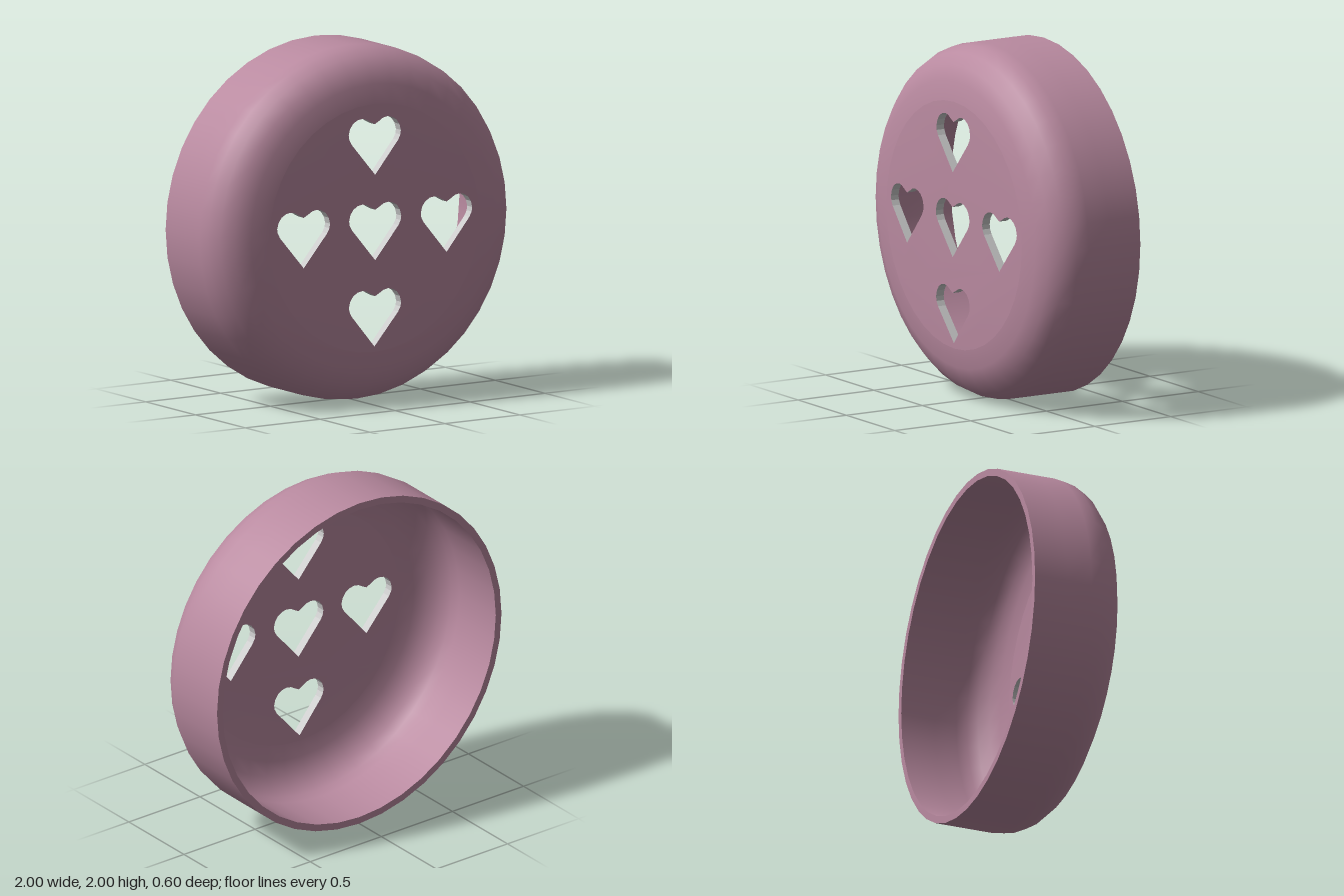
import * as THREE from 'three';

const SIDES = 40;      // facets around the cap
const FACE_R = 0.7;    // radius of the pierced front face
const THICK = 0.05;    // face thickness
const BACK = -0.3, FRONT = 0.3;

const pink = new THREE.MeshStandardMaterial({ color: 0xb98aa0, side: THREE.DoubleSide });
const grey = new THREE.MeshStandardMaterial({ color: 0xcccccc, side: THREE.DoubleSide });

// Gentle crown of the front face
const crown = (x, y) => FRONT - 0.01 * (Math.hypot(x, y) / FACE_R) ** 4;

// Heart outline, tip at the bottom, mirrored from its right half
function heart(cx, cy) {
  const half = [[0.03, 0.12], [0.055, 0.135], [0.085, 0.141], [0.115, 0.136], [0.145, 0.118],
    [0.165, 0.09], [0.174, 0.055], [0.17, 0.03], [0.155, 0.002]];
  const pts = [[0, 0.104], ...half, [0, -0.181], ...half.map(([x, y]) => [-x, y]).reverse()];
  return pts.map(([x, y]) => new THREE.Vector2(x + cx, y + cy));
}

// Pierced disc, raised to the crown; flip makes the inner skin
function faceSkin(holes, drop, flip) {
  const rim = Array.from({ length: SIDES }, (_, i) => {
    const a = (i / SIDES) * Math.PI * 2;
    return new THREE.Vector2(FACE_R * Math.cos(a), FACE_R * Math.sin(a));
  });
  const shape = new THREE.Shape(rim);
  shape.holes = holes.map(h => new THREE.Path(h));
  const g = new THREE.ShapeGeometry(shape);
  const p = g.attributes.position, n = g.attributes.normal, s = flip ? -1 : 1;
  const v = new THREE.Vector3();
  for (let i = 0; i < p.count; i++) {
    const x = p.getX(i), y = p.getY(i);
    const k = 0.04 * (x * x + y * y) / FACE_R ** 4;
    v.set(x * k, y * k, 1).normalize().multiplyScalar(s);
    p.setZ(i, crown(x, y) - drop);
    n.setXYZ(i, v.x, v.y, v.z);
  }
  if (flip) g.index.array.reverse();
  return g;
}

// Cut wall running around one hole
function holeWall(outline) {
  const pos = [], n = outline.length;
  for (let i = 0; i < n; i++) {
    const a = outline[i], b = outline[(i + 1) % n];
    const za = crown(a.x, a.y), zb = crown(b.x, b.y);
    pos.push(a.x, a.y, za, b.x, b.y, zb, b.x, b.y, zb - THICK);
    pos.push(a.x, a.y, za, b.x, b.y, zb - THICK, a.x, a.y, za - THICK);
  }
  const g = new THREE.BufferGeometry();
  g.setAttribute('position', new THREE.Float32BufferAttribute(pos, 3));
  g.computeVertexNormals();
  return g;
}

// Revolve [radius, z] points about the z axis
function revolve(points) {
  return new THREE.LatheGeometry(points.map(([r, z]) => new THREE.Vector2(r, z)), SIDES)
    .rotateX(Math.PI / 2);
}

export function createModel() {
  const group = new THREE.Group();
  const add = (name, geometry, material = pink) => {
    const mesh = new THREE.Mesh(geometry, material);
    mesh.name = name;
    mesh.position.y = 1;
    group.add(mesh);
  };

  // Outer wall with rounded shoulder
  add('outerWall', revolve([[1, BACK], [1, -0.1], [1, 0.04], [0.99, 0.11], [0.955, 0.18],
    [0.895, 0.237], [0.81, 0.273], [FACE_R, FRONT - 0.01]]));

  // Inner wall, from the face back to the opening
  add('innerWall', revolve([[FACE_R, FRONT - 0.01 - THICK], [0.79, 0.224], [0.865, 0.193],
    [0.92, 0.145], [0.95, 0.09], [0.96, 0.03], [0.96, -0.1], [0.96, BACK]]));

  // Flat lip around the open back
  add('backLip', revolve([[0.96, BACK], [1, BACK]]));

  // Front face with five heart openings
  const holes = [[0, 0], [-0.475, 0], [0.478, 0], [0, 0.482], [0, -0.488]]
    .map(([x, y]) => heart(x, y));
  add('frontFace', faceSkin(holes, 0, false));
  add('innerFace', faceSkin(holes, THICK, true));
  holes.forEach((h, i) => add('heartCut' + (i + 1), holeWall(h), grey));

  return group;
}
